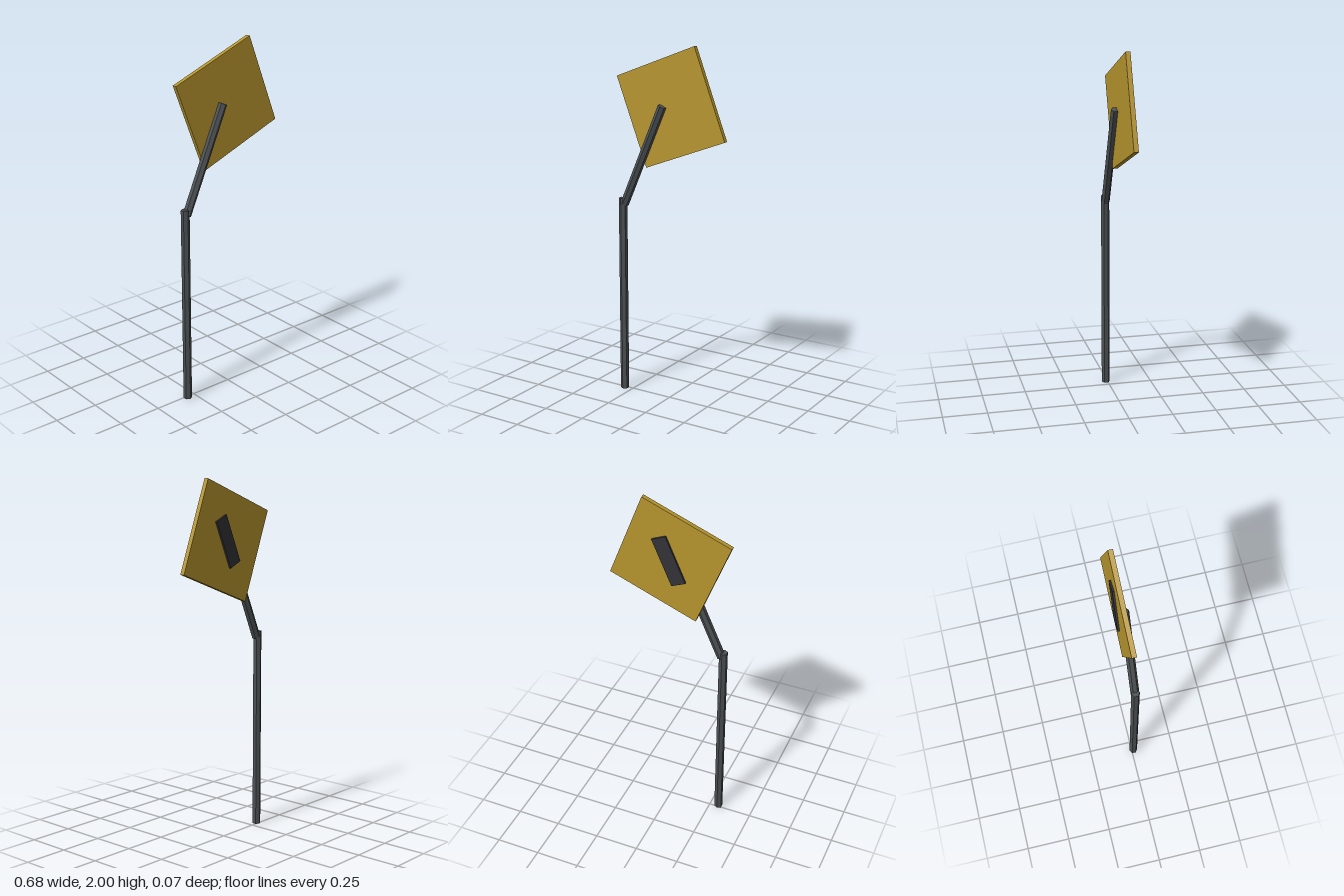
import * as THREE from 'three';

const ROD_RADIUS = 0.0238;
const ROD_Z = 0.0105;
const LEAN = THREE.MathUtils.degToRad(23.6);

const material = (name, color) => {
  const m = new THREE.MeshStandardMaterial({ color, flatShading: true });
  m.name = name;
  return m;
};

export function createModel() {
  const group = new THREE.Group();
  const steel = material('grey steel', 0x4c5052);
  const gold = material('mustard yellow', 0xb6952e);
  const dark = material('dark charcoal', 0x333338);

  const add = (name, geometry, mat, x, y, z, tilt = 0) => {
    const mesh = new THREE.Mesh(geometry, mat);
    mesh.name = name;
    mesh.position.set(x, y, z);
    mesh.rotation.z = tilt;
    group.add(mesh);
  };

  // Six-sided rod between two points in the front plane
  const rod = (name, x0, y0, x1, y1) => {
    const length = Math.hypot(x1 - x0, y1 - y0);
    const geometry = new THREE.CylinderGeometry(ROD_RADIUS, ROD_RADIUS, length, 6);
    add(name, geometry, steel, (x0 + x1) / 2, (y0 + y1) / 2, ROD_Z, -Math.atan2(x1 - x0, y1 - y0));
  };

  // Upright pole and the bent arm that carries the panel
  rod('pole', -0.3, 0, -0.3, 1.134);
  rod('arm', -0.29, 1.1, -0.041, 1.6685);

  // Square tilted panel
  add('panel', new THREE.BoxGeometry(0.526, 0.526, 0.026), gold, 0, 1.66, -0.013, THREE.MathUtils.degToRad(21.1));

  // Raised bar on the back of the panel, parallel to the arm
  add('backBar', new THREE.BoxGeometry(0.085, 0.28, 0.013), dark, 0, 1.66, -0.0305, -LEAN);

  return group;
}
